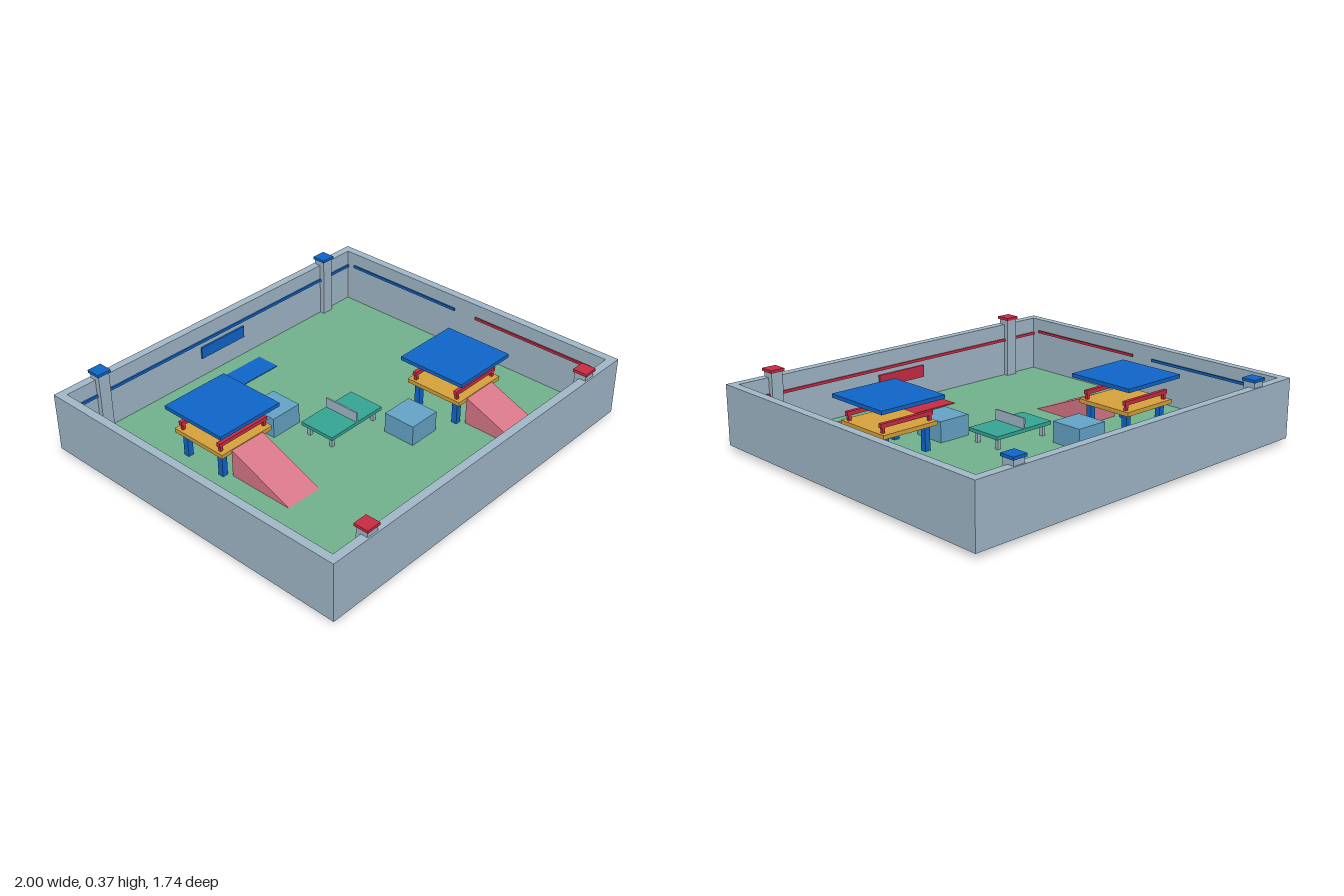
import * as THREE from 'three';

const paint = (name, color) => {
  const m = new THREE.MeshStandardMaterial({ color });
  m.name = name;
  return m;
};

export function createModel() {
  const model = new THREE.Group();
  model.name = 'arena';

  const grey = paint('wall grey', 0xa3bacb);
  const green = paint('floor green', 0x74b48f);
  const blue = paint('team blue', 0x0f67cc);
  const red = paint('team red', 0xcc2b45);
  const pink = paint('ramp pink', 0xd97888);
  const gold = paint('deck gold', 0xd9a43c);
  const teal = paint('table teal', 0x35a797);
  const sky = paint('crate blue', 0x66a6ca);

  const FLOOR = 0.04;

  const add = (parent, name, geometry, material, x = 0, y = 0, z = 0) => {
    const mesh = new THREE.Mesh(geometry, material);
    mesh.name = name;
    mesh.position.set(x, y, z);
    parent.add(mesh);
    return mesh;
  };
  // Box given by its centre in x and z, and its bottom and top heights
  const box = (parent, name, material, x, z, w, d, y0, y1) =>
    add(parent, name, new THREE.BoxGeometry(w, y1 - y0, d), material, x, (y0 + y1) / 2, z);

  // Floor and surrounding walls
  box(model, 'floor', green, 0, 0, 1.91, 1.65, 0, FLOOR);
  for (const s of [-1, 1]) {
    box(model, 'endWall', grey, 0, s * 0.8475, 2, 0.043, 0.025, 0.325);
    box(model, 'sideWall', grey, s * 0.9785, 0, 0.043, 1.652, 0.025, 0.325);
  }

  // Team ends: red at the front, blue at the back
  for (const s of [-1, 1]) {
    const team = s > 0 ? red : blue;
    const end = new THREE.Group();
    end.name = s > 0 ? 'redEnd' : 'blueEnd';
    model.add(end);
    box(end, 'endStripe', team, 0, s * 0.822, 1.91, 0.008, 0.232, 0.246);
    box(end, 'goalPanel', team, 0, s * 0.817, 0.29, 0.009, 0.147, 0.21);
    box(end, 'startMat', team, 0, s * 0.673, 0.35, 0.13, FLOOR, FLOOR + 0.004);
    for (const x of [-1, 1]) {
      box(end, 'sideStripe', team, x * 0.935, s * 0.415, 0.009, 0.698, 0.255, 0.268);
      box(end, 'cornerPost', grey, x * 0.763, s * 0.83, 0.062, 0.062, FLOOR, 0.352);
      box(end, 'postCap', team, x * 0.763, s * 0.83, 0.075, 0.075, 0.352, 0.366);
    }
  }

  // Ramp wedge: side profile drawn along z, extruded across x
  const profile = new THREE.Shape([
    new THREE.Vector2(0.155, FLOOR),
    new THREE.Vector2(0.51, FLOOR),
    new THREE.Vector2(0.155, 0.183),
  ]);
  const rampGeometry = new THREE.ExtrudeGeometry(profile, { depth: 0.195, bevelEnabled: false });
  rampGeometry.translate(0, 0, -0.0975).rotateY(-Math.PI / 2);

  // Two roofed towers
  for (const s of [-1, 1]) {
    const tower = new THREE.Group();
    tower.name = s > 0 ? 'leftTower' : 'rightTower';
    tower.position.set(s * 0.521, 0, s * 0.26);
    model.add(tower);
    box(tower, 'deck', gold, 0, 0, 0.315, 0.315, 0.165, 0.186);
    box(tower, 'roof', blue, 0, 0, 0.367, 0.368, 0.293, 0.312);
    add(tower, 'ramp', rampGeometry, pink);
    for (const z of [-1, 1]) {
      box(tower, 'rail', red, 0, z * 0.125, 0.3, 0.02, 0.212, 0.232);
      for (const x of [-1, 1]) {
        box(tower, 'leg', blue, x * 0.12, z * 0.115, 0.03, 0.03, FLOOR, 0.165);
        box(tower, 'railPost', red, x * 0.135, z * 0.125, 0.015, 0.015, 0.186, 0.212);
      }
    }
  }

  // Centre table with divider
  const table = new THREE.Group();
  table.name = 'table';
  model.add(table);
  box(table, 'tableTop', teal, 0, 0, 0.35, 0.196, 0.095, 0.113);
  box(table, 'divider', grey, 0, 0, 0.008, 0.196, 0.113, 0.165);
  for (const x of [-1, 1]) for (const z of [-1, 1])
    box(table, 'tableLeg', grey, x * 0.145, z * 0.07, 0.018, 0.018, FLOOR, 0.095);

  // Crates
  for (const s of [-1, 1])
    box(model, 'crate', sky, s * 0.196, s * 0.262, 0.173, 0.172, FLOOR, 0.145);

  return model;
}
